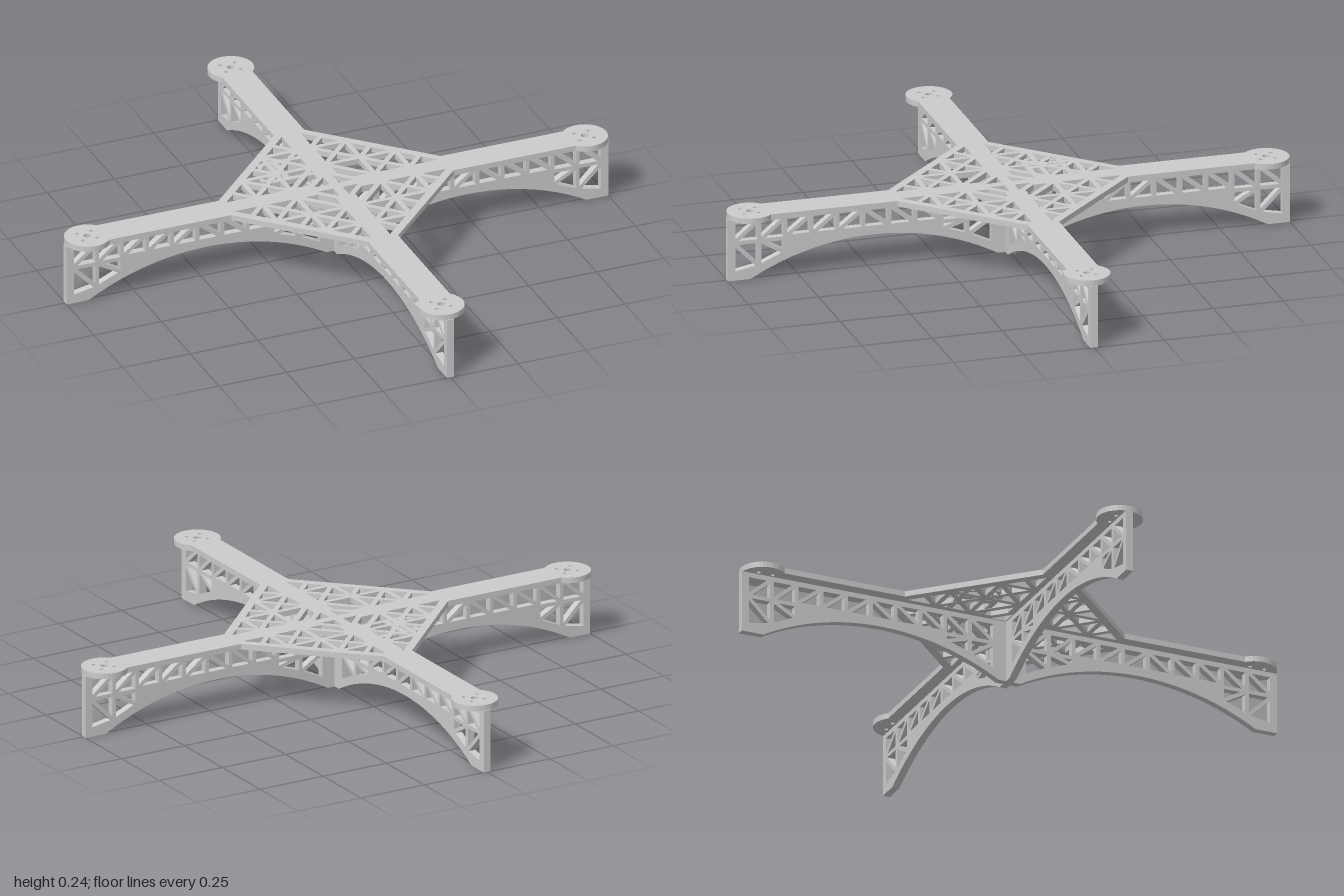
import * as THREE from 'three';

const V = (x, y) => new THREE.Vector2(x, y);
const mat = new THREE.MeshStandardMaterial({ color: 0xcccccc });
const BASE = 0.223, TOP = 0.243;   // underside and top of the deck plate
const RIB = 0.026;                 // rib thickness
const ARM = 0.056, DISC = 0.08, MOTOR = 0.918;

// Triangular opening, shrunk toward its incentre to leave struts around it
function triangleHole(a, b, c, inset) {
  const la = b.distanceTo(c), lb = a.distanceTo(c), lc = a.distanceTo(b), p = la + lb + lc;
  const centre = V((a.x * la + b.x * lb + c.x * lc) / p, (a.y * la + b.y * lb + c.y * lc) / p);
  const area = Math.abs((b.x - a.x) * (c.y - a.y) - (c.x - a.x) * (b.y - a.y)) / 2;
  const k = 1 - inset / (2 * area / p);
  if (k < 0.12) return [];
  return [new THREE.Path([a, b, c].map(q => centre.clone().lerp(q, k)))];
}

function roundHole(x, y, r) {
  return new THREE.Path().absarc(x, y, r, 0, Math.PI * 2, true);
}

function slab(shape, depth, name) {
  const geo = new THREE.ExtrudeGeometry(shape, { depth, bevelEnabled: false, curveSegments: 12 });
  const mesh = new THREE.Mesh(geo, mat);
  mesh.name = name;
  return mesh;
}

// Deck: diamond centre, four arms and round motor mounts in one outline
function makeDeck() {
  const pts = [], open = Math.asin(ARM / DISC), origin = V(0, 0);
  for (let arm = 0; arm < 4; arm++) {
    const turn = arm * Math.PI / 2;
    const add = (x, y) => pts.push(V(x, y).rotateAround(origin, turn));
    add(0.41, -ARM);
    for (let i = 0; i <= 28; i++) {
      const t = -Math.PI + open + (i / 28) * 2 * (Math.PI - open);
      add(MOTOR + DISC * Math.cos(t), DISC * Math.sin(t));
    }
    add(0.41, ARM);
  }
  const shape = new THREE.Shape(pts);

  // Motor screw holes
  for (let arm = 0; arm < 4; arm++) {
    const c = V(MOTOR, 0).rotateAround(origin, arm * Math.PI / 2);
    shape.holes.push(roundHole(c.x, c.y, 0.013));
    for (let i = 0; i < 4; i++) {
      const t = Math.PI / 4 + i * Math.PI / 2;
      shape.holes.push(roundHole(c.x + 0.037 * Math.cos(t), c.y + 0.037 * Math.sin(t), 0.007));
    }
  }

  // Truss openings in each quadrant
  const s = 0.026, p = 0.1287, w = 0.009;
  for (const sx of [1, -1]) for (const sy of [1, -1]) {
    const P = (x, y) => V(sx * x, sy * y);
    const tri = (a, b, c, inset = w) => shape.holes.push(...triangleHole(a, b, c, inset));
    for (let i = 0; i < 3; i++) for (let j = 0; i + j < 3; j++) {
      const x = s + i * p, y = s + j * p;
      const a = P(x, y), b = P(x + p, y), c = P(x + p, y + p), d = P(x, y + p);
      const m = P(x + p / 2, y + p / 2);
      if (i + j === 2) {
        tri(a, b, m); tri(a, m, d);
      } else if (i + j === 1) {
        tri(a, b, m); tri(b, c, m); tri(c, d, m); tri(d, a, m);
      } else {
        tri(b, c, d);
      }
    }
    // Small openings around the hub
    tri(P(0.016, 0.016), P(0.075, 0.016), P(0.016, 0.075), 0.001);
    shape.holes.push(new THREE.Path([P(0.08, 0.037), P(0.128, 0.037), P(0.037, 0.128), P(0.037, 0.08)]));
  }
  const deck = slab(shape, TOP - BASE, 'deckPlate');
  deck.rotation.x = -Math.PI / 2;
  deck.position.y = BASE;
  return deck;
}

// Arched lattice rib running out from the hub along +x
function makeRib() {
  const mid = 0.48, R = 0.9, rise = 0.115;
  const arch = x => Math.max(0, rise - R + Math.sqrt(R * R - (x - mid) ** 2));
  const pts = [V(0, BASE), V(0, 0)];
  for (let i = 0; i <= 24; i++) {
    const x = 0.04 + 0.88 * i / 24;
    pts.push(V(x, arch(x)));
  }
  pts.push(V(1, 0), V(1, BASE));
  const shape = new THREE.Shape(pts);

  const cols = 10, x0 = 0.055, pitch = 0.0925, top = 0.212, split = 0.135, w = 0.007;
  const cell = (xa, xb, ya, yb, hi, flip) => {
    const a = V(xa, ya), b = V(xb, yb), c = V(xb, hi), d = V(xa, hi);
    const tris = flip ? [[a, b, c], [a, c, d]] : [[a, b, d], [b, c, d]];
    for (const t of tris) shape.holes.push(...triangleHole(...t, w));
  };
  for (let i = 0; i < cols; i++) {
    const xa = x0 + i * pitch, xb = xa + pitch, flip = i < cols / 2;
    const ya = arch(xa) + 0.025, yb = arch(xb) + 0.025;
    const deep = i < 2 || i > cols - 3;
    cell(xa, xb, deep ? split : 0.14, deep ? split : 0.14, top, flip);
    if (deep) cell(xa, xb, ya, yb, split, !flip);
  }
  const rib = slab(shape, RIB, 'archedRib');
  rib.position.z = -RIB / 2;
  return rib;
}

// Accessory mount let into the back right quadrant of the deck
function makeMount() {
  const mount = new THREE.Group();
  mount.name = 'accessoryMount';
  const bars = [[-0.115, -0.112, 0.16, 0.02], [-0.115, -0.235, 0.16, 0.02], [-0.13, -0.17, 0.022, 0.13]];
  for (const [x, z, w, d] of bars) {
    const bar = new THREE.Mesh(new THREE.BoxGeometry(w, 0.018, d), mat);
    bar.position.set(x, BASE + 0.0102, z);
    bar.name = 'mountBar';
    mount.add(bar);
  }
  for (const z of [-0.225, -0.14]) {
    const ring = new THREE.Shape().absarc(0, 0, 0.022, 0, Math.PI * 2);
    ring.holes.push(roundHole(0, 0, 0.009));
    const boss = slab(ring, 0.018, 'screwBoss');
    boss.rotation.x = -Math.PI / 2;
    boss.position.set(-0.2, BASE + 0.001, z);
    mount.add(boss);
  }
  return mount;
}

export function createModel() {
  const model = new THREE.Group();
  model.name = 'quadFrame';
  model.add(makeDeck(), makeMount());
  for (let i = 0; i < 4; i++) {
    const arm = new THREE.Group();
    arm.name = 'armRib' + (i + 1);
    arm.add(makeRib());
    arm.rotation.y = i * Math.PI / 2;
    model.add(arm);
  }
  return model;
}
